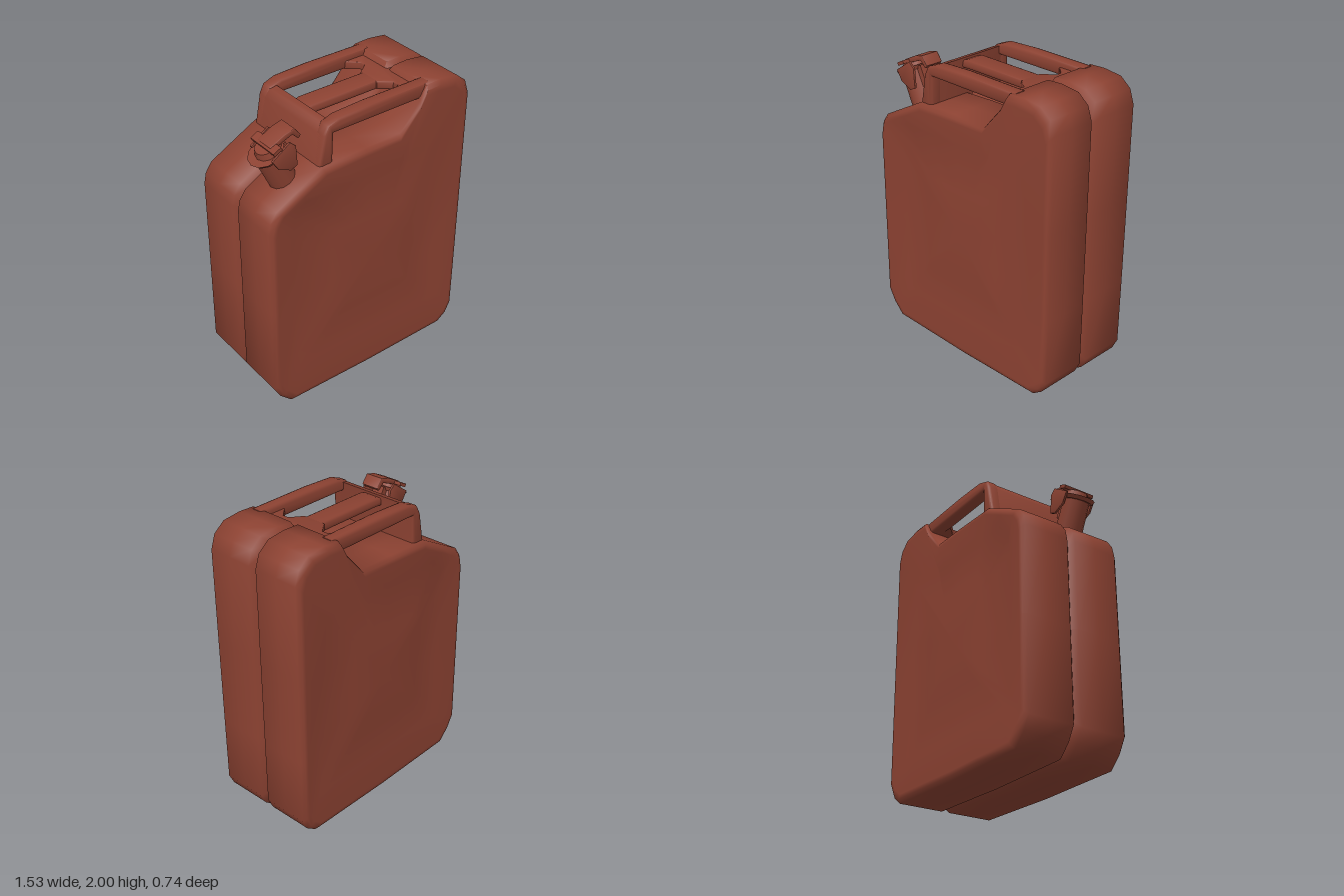
import * as THREE from 'three';
import { toCreasedNormals } from 'three/addons/utils/BufferGeometryUtils.js';

const paint = new THREE.MeshStandardMaterial({ color: 0x8c4232 });
paint.name = 'rust red paint';

function add(parent, name, geometry, x = 0, y = 0, z = 0) {
  const mesh = new THREE.Mesh(geometry, paint);
  mesh.name = name;
  mesh.position.set(x, y, z);
  parent.add(mesh);
  return mesh;
}

// Can outline seen from the front, counter-clockwise
const outline = [
  [-0.64, 0.01], [-0.3, 0.005], [0, 0], [0.3, 0.005], [0.64, 0.01], [0.71, 0.06], [0.75, 0.14],
  [0.755, 0.6], [0.76, 1.2], [0.765, 1.83], [0.735, 1.92], [0.66, 1.98], [0.53, 1.995],
  [0.42, 1.99], [0.37, 1.9], [0.22, 1.73], [-0.05, 1.725], [-0.37, 1.71], [-0.55, 1.615],
  [-0.7, 1.535], [-0.745, 1.47], [-0.76, 1.4], [-0.765, 0.8], [-0.77, 0.18], [-0.72, 0.09],
];
const CX = 0, CY = 0.9, PANEL_Z = 0.362;

// Outline scaled towards the middle, at one depth
const scaled = (s, z) => ([x, y]) => [CX + (x - CX) * s, CY + (y - CY) * s, z];
// Outline drawn in radially onto a rectangle; the depth grows by rise towards its top and bottom
const boxed = (w, h, z, rise) => ([x, y]) => {
  const t = 1 / Math.max(Math.abs(x - CX) / w, Math.abs(y - CY) / h);
  const dy = (y - CY) * t;
  return [CX + (x - CX) * t, CY + dy, z + rise * (dy / h) ** 2];
};

// Body: rings from the raised panel over the shallow gutter and rim to the seam, then mirrored
function bodyGeometry() {
  const half = [
    boxed(0.31, 0.33, PANEL_Z, 0), boxed(0.57, 0.62, 0.322, 0.02), scaled(0.945, 0.37),
    scaled(0.975, 0.366), scaled(1, 0.345), scaled(1, 0.19), scaled(1, 0.03),
  ];
  const mirrored = half.map((place) => (p) => {
    const [x, y, z] = place(p);
    return [x, y, -z];
  });
  const rings = [...half, scaled(0.955, 0), ...mirrored.reverse()];
  const n = outline.length;
  const pos = rings.flatMap((place) => outline.flatMap(place)), index = [];
  for (let k = 0; k < rings.length - 1; k++)
    for (let i = 0; i < n; i++) {
      const j = (i + 1) % n;
      const a = k * n + i, b = k * n + j, c = b + n, d = a + n;
      index.push(a, d, c, a, c, b);
    }
  // Middles of the two large panels
  const front = rings.length * n, back = front + 1, last = (rings.length - 1) * n;
  pos.push(CX, CY, PANEL_Z, CX, CY, -PANEL_Z);
  for (let i = 0; i < n; i++) {
    const j = (i + 1) % n;
    index.push(front, i, j, back, last + j, last + i);
  }
  const g = new THREE.BufferGeometry();
  g.setAttribute('position', new THREE.Float32BufferAttribute(pos, 3));
  g.setIndex(index);
  return toCreasedNormals(g, 1.22);
}

// Bevelled bar cut from a side profile
function bar(points, width, bevel) {
  const shape = new THREE.Shape(points.map(([x, y]) => new THREE.Vector2(x, y)));
  const g = new THREE.ExtrudeGeometry(shape, {
    depth: width - 2 * bevel, bevelEnabled: true, bevelThickness: bevel,
    bevelSize: bevel, bevelOffset: -bevel, bevelSegments: 2,
  });
  g.translate(0, 0, -width / 2 + bevel);
  return toCreasedNormals(g, 0.9);
}

export function createModel() {
  const model = new THREE.Group();
  model.name = 'fuelCan';
  add(model, 'body', bodyGeometry());

  // Three carrying handles joined by a cross wall
  const outer = [
    [-0.385, 1.66], [-0.34, 1.9], [-0.31, 1.957], [-0.23, 1.987], [0, 1.997],
    [0.45, 1.995], [0.45, 1.86], [0.38, 1.9], [-0.27, 1.9], [-0.28, 1.66],
  ];
  for (const side of [1, -1])
    add(model, 'outerHandle', bar(outer, 0.09, 0.02), 0, 0, side * 0.288);
  const middle = [[-0.31, 1.89], [-0.31, 1.93], [-0.23, 1.955], [0.45, 1.955], [0.45, 1.86], [0.38, 1.895], [-0.2, 1.895]];
  add(model, 'middleHandle', bar(middle, 0.145, 0.015));
  const wall = [[-0.385, 1.66], [-0.34, 1.9], [-0.31, 1.95], [-0.265, 1.96], [-0.27, 1.9], [-0.28, 1.66]];
  add(model, 'handleWall', bar(wall, 0.65, 0.012));

  // Pointed slot ends where the handles run into the tall end
  const notch = [[0.25, 0.08], [0.33, 0.14], [0.33, 0.18], [0.25, 0.25], [0.45, 0.3]];
  const ends = [...notch, ...notch.map(([x, z]) => [x, -z]).reverse()];
  const slotEnd = add(model, 'slotEnd', bar(ends, 0.055, 0.008), 0, 1.928);
  slotEnd.rotation.x = Math.PI / 2;

  // Spout on the sloping shoulder
  const spout = new THREE.Group();
  spout.name = 'spout';
  spout.position.set(-0.53, 1.62, 0.165);
  spout.rotation.z = 0.46;
  model.add(spout);
  add(spout, 'neck', new THREE.CylinderGeometry(0.085, 0.09, 0.28, 12), 0, 0.09);
  add(spout, 'lip', new THREE.CylinderGeometry(0.115, 0.1, 0.025, 12), 0, 0.225);
  add(spout, 'lid', new THREE.CylinderGeometry(0.07, 0.085, 0.04, 12), 0.02, 0.255);

  // Clamp: side arms, a strap over the lid and a bent lever
  const arm = [[-0.02, 0.17], [0.04, 0.1], [0.09, 0.1], [0.14, 0.22], [0.12, 0.27], [-0.03, 0.25]];
  for (const side of [1, -1]) add(spout, 'clampArm', bar(arm, 0.016, 0.003), 0, 0, side * 0.107);
  add(spout, 'clampStrap', new THREE.BoxGeometry(0.06, 0.022, 0.23), 0.03, 0.28);
  const lever = [[0, 0.27], [0.02, 0.295], [0.13, 0.295], [0.2, 0.28], [0.215, 0.21], [0.19, 0.2], [0.17, 0.255]];
  add(spout, 'lever', bar(lever, 0.13, 0.005));
  add(spout, 'hinge', new THREE.BoxGeometry(0.04, 0.14, 0.08), 0.1, 0.16);
  return model;
}
